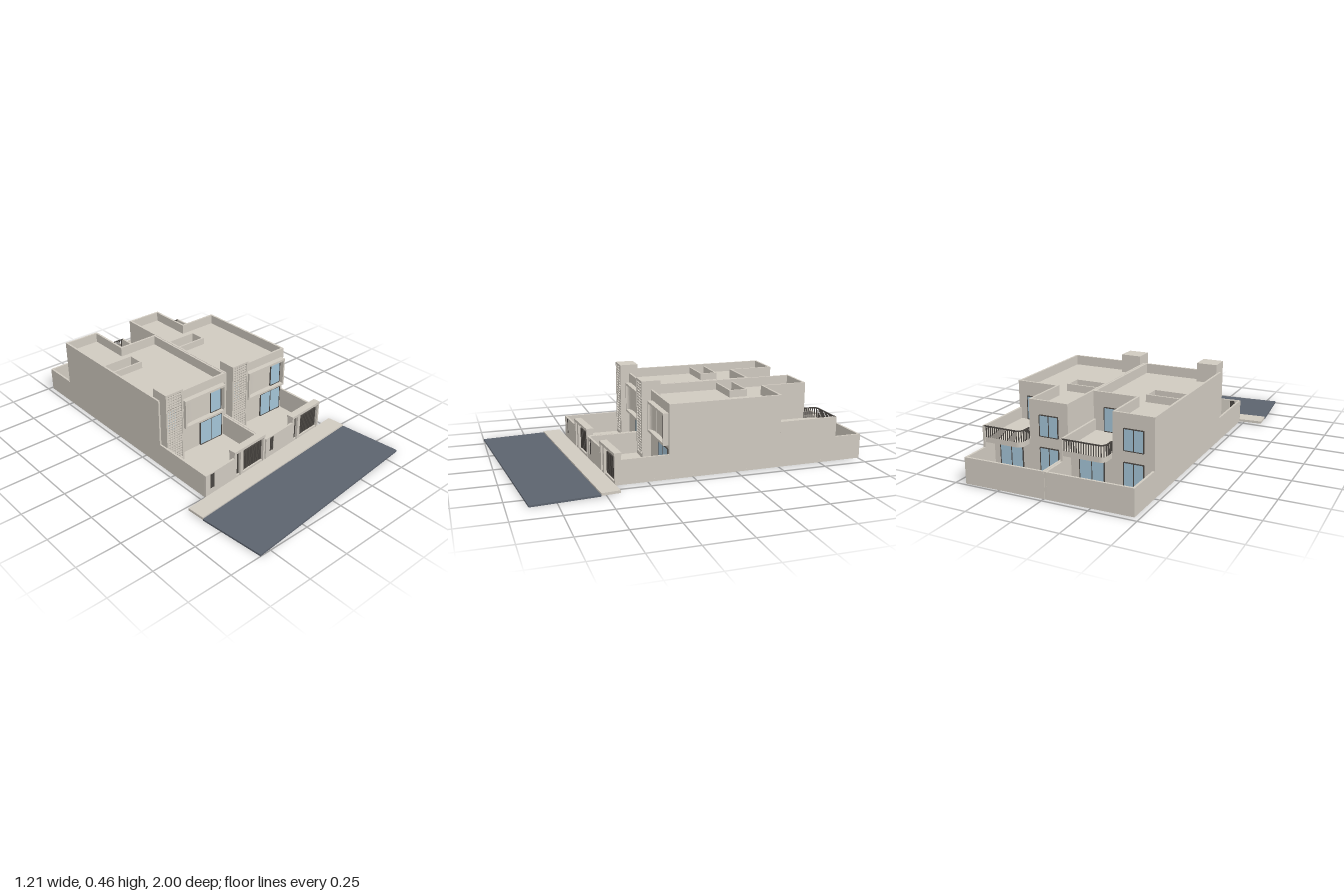
import * as THREE from 'three';

const paint = (color) => new THREE.MeshStandardMaterial({ color });
const WALL = paint(0xd0cac0), GLASS = paint(0xa3c3d6), DARK = paint(0x4a4642), ROAD = paint(0x5c636e);

const SKEW = 0.086;                                // the street runs slightly askew
const streetZ = (x) => 0.47 - SKEW * x;

function add(parent, name, geometry, material = WALL) {
  const mesh = new THREE.Mesh(geometry, material);
  mesh.name = name;
  parent.add(mesh);
  return mesh;
}

// Box given by its limits
function box(parent, name, x0, x1, y0, y1, z0, z1, material) {
  const g = new THREE.BoxGeometry(x1 - x0, y1 - y0, z1 - z0);
  g.translate((x0 + x1) / 2, (y0 + y1) / 2, (z0 + z1) / 2);
  return add(parent, name, g, material);
}

// Plan outline of [x, z] points raised from y0 to y1
function prism(parent, name, pts, y0, y1, holes = [], material = WALL) {
  const plan = (list) => list.map(([x, z]) => new THREE.Vector2(x, -z));
  const shape = new THREE.Shape(plan(pts));
  for (const h of holes) shape.holes.push(new THREE.Path(plan(h)));
  const g = new THREE.ExtrudeGeometry(shape, { depth: y1 - y0, bevelEnabled: false });
  g.rotateX(-Math.PI / 2).translate(0, y0, 0);
  return add(parent, name, g, material);
}

// Straight wall between two plan points
function wall(parent, name, [xa, za], [xb, zb], t, y0, y1, material) {
  const dx = xb - xa, dz = zb - za;
  const g = new THREE.BoxGeometry(Math.hypot(dx, dz), y1 - y0, t);
  g.rotateY(-Math.atan2(dz, dx)).translate((xa + xb) / 2, (y0 + y1) / 2, (za + zb) / 2);
  return add(parent, name, g, material);
}

// Glazing in a z-facing wall, with dark frame and mullions
function windowAt(parent, name, x0, x1, y0, y1, z, panes = 2) {
  const w = new THREE.Group();
  w.name = name;
  box(w, 'glass', x0, x1, y0, y1, z - 0.003, z + 0.003, GLASS);
  for (let i = 0; i <= panes; i++) {
    const x = x0 + ((x1 - x0) * i) / panes;
    box(w, 'mullion', x - 0.002, x + 0.002, y0, y1, z - 0.005, z + 0.005, DARK);
  }
  for (const y of [y0, y1]) box(w, 'windowRail', x0, x1, y - 0.002, y + 0.002, z - 0.005, z + 0.005, DARK);
  parent.add(w);
}

function bars(parent, name, x0, x1, y0, y1, z, count) {
  const g = new THREE.Group();
  g.name = name;
  const step = (x1 - x0) / count;
  for (let i = 0; i < count; i++) {
    const x = x0 + (i + 0.5) * step;
    box(g, 'bar', x - step * 0.36, x + step * 0.36, y0, y1, z - 0.004, z + 0.004, DARK);
  }
  for (const y of [y0 + 0.003, y1 - 0.003]) box(g, 'rail', x0, x1, y - 0.003, y + 0.003, z - 0.003, z + 0.003, DARK);
  parent.add(g);
}

// Stair tower with a pierced block screen
function tower(parent) {
  const t = new THREE.Group();
  t.name = 'stairTower';
  const x0 = 0.01, x1 = 0.125, zb = 0.08, zf = 0.187;
  for (const x of [x0, x1 - 0.01]) box(t, 'towerSide', x, x + 0.01, 0.018, 0.46, zb, zf);
  box(t, 'towerTop', x0 + 0.01, x1 - 0.01, 0.45, 0.46, zb, zf);
  box(t, 'towerBase', x0 + 0.01, x1 - 0.01, 0.018, 0.04, zb, zf);
  box(t, 'towerBack', x0 + 0.01, x1 - 0.01, 0.35, 0.45, zb, 0.135);
  windowAt(t, 'towerWindow', 0.025, 0.11, 0.2, 0.33, 0.138, 1);
  const screen = new THREE.Shape([[0.02, 0.04], [0.115, 0.04], [0.115, 0.45], [0.02, 0.45]].map((p) => new THREE.Vector2(...p)));
  const cols = 6, rows = 26, px = 0.095 / cols, py = 0.41 / rows;
  for (let c = 0; c < cols; c++) for (let r = 0; r < rows; r++) {
    const ring = [];
    for (let k = 0; k < 8; k++) {
      const a = ((k + 0.5) * Math.PI) / 4;
      ring.push(new THREE.Vector2(0.02 + (c + 0.5) * px + 0.0062 * Math.cos(a), 0.04 + (r + 0.5) * py + 0.0062 * Math.sin(a)));
    }
    screen.holes.push(new THREE.Path(ring));
  }
  const g = new THREE.ExtrudeGeometry(screen, { depth: 0.008, bevelEnabled: false });
  add(t, 'blockScreen', g.translate(0, 0, 0.176));
  parent.add(t);
}

// Projecting bay frame with a curved inner wall
function bay(parent) {
  const b = new THREE.Group();
  b.name = 'bayFrame';
  box(b, 'bayTop', 0.158, 0.444, 0.345, 0.358, 0.13, 0.165);
  box(b, 'bayBottom', 0.158, 0.444, 0.185, 0.197, 0.13, 0.165);
  box(b, 'baySide', 0.158, 0.168, 0.197, 0.345, 0.13, 0.165);
  box(b, 'baySide', 0.434, 0.444, 0.197, 0.345, 0.13, 0.165);
  const curve = [[0.168, 0.133]];
  for (let i = 0; i <= 10; i++) {
    const a = (i / 10) * Math.PI / 2;
    curve.push([0.228 - 0.06 * Math.cos(a), 0.16 - 0.024 * Math.sin(a)]);
  }
  curve.push([0.228, 0.133]);
  prism(b, 'curvedWall', curve, 0.197, 0.345);
  windowAt(b, 'bayWindow', 0.355, 0.43, 0.199, 0.34, 0.137, 1);
  parent.add(b);
}

// Rear balcony slab and railing
function balcony(parent, right) {
  const b = new THREE.Group();
  b.name = 'balcony';
  const edge = [[right, -0.835]];
  for (let i = 0; i <= 6; i++) {
    const a = (i / 6) * Math.PI / 2;
    edge.push([0.255 - 0.03 * Math.sin(a), -0.805 - 0.03 * Math.cos(a)]);
  }
  edge.push([0.225, -0.76]);
  prism(b, 'balconySlab', [...edge, [right, -0.76]], 0.172, 0.2);
  const path = new THREE.CurvePath();
  const v = edge.map(([x, z]) => new THREE.Vector3(x, 0.258, z));
  for (let i = 1; i < v.length; i++) {
    path.add(new THREE.LineCurve3(v[i - 1], v[i]));
    wall(b, 'handrail', edge[i - 1], edge[i], 0.006, 0.255, 0.261, DARK);
  }
  for (const p of path.getSpacedPoints(22)) box(b, 'baluster', p.x - 0.002, p.x + 0.002, 0.2, 0.257, p.z - 0.002, p.z + 0.002, DARK);
  parent.add(b);
}

// Street portal with pedestrian and garage gates
function portal(parent, x, width) {
  const p = new THREE.Group();
  p.name = 'streetPortal';
  p.position.set(x, 0, streetZ(x));
  p.rotation.y = Math.atan(SKEW);
  box(p, 'lintel', 0, width, 0.163, 0.178, -0.04, 0.002);
  for (const [a, b] of [[0, 0.018], [0.048, 0.07], [width - 0.012, width]]) box(p, 'pillar', a, b, 0.01, 0.163, -0.036, 0);
  bars(p, 'pedestrianGate', 0.018, 0.048, 0.02, 0.163, -0.018, 3);
  bars(p, 'garageGate', 0.07, width - 0.012, 0.02, 0.138, -0.018, 14);
  parent.add(p);
}

function house(name, x0, right, portalX, portalWidth) {
  const h = new THREE.Group();
  h.name = name;
  h.position.x = x0;
  const T = 0.012, Y = 0.018, F = 0.135, M = -0.5, B = -0.76;
  const well = [[0.012, -0.305], [0.205, -0.305], [0.205, -0.39], [0.012, -0.39]];
  const outline = (d) => [[d, F - d], [right(F) - d, F - d], [right(M) - d, M + d], [0.22 - d, M + d], [0.22 - d, B + d], [d, B + d]];
  const back = (x) => -0.978 - 0.02 * (x + x0 + 0.476) / 0.913;
  const front = (x) => streetZ(x + x0) - T / 2;

  // Lot, main volumes and roof edges
  prism(h, 'lotSlab', [[0, front(0)], [right(0.45), front(right(0.45))], [right(-1), back(right(-1))], [0, back(0)]], 0.005, Y);
  prism(h, 'groundFloor', [[0, F], [right(F), F], [right(B), B], [0, B]], Y, 0.2, [well]);
  prism(h, 'upperFloor', outline(0), 0.2, 0.355, [well]);
  prism(h, 'parapet', outline(0), 0.355, 0.41, [outline(T)]);
  prism(h, 'lightWellRim', [[T, -0.295], [0.215, -0.295], [0.215, -0.4], [T, -0.4]], 0.355, 0.395, [well]);

  // Rear paving with a rounded step
  const paving = [[0.006, B], [0.006, -0.8], [0.14, -0.8]];
  for (let i = 0; i <= 6; i++) {
    const a = (i / 6) * Math.PI / 2;
    paving.push([0.2 - 0.03 * Math.cos(a), -0.86 - 0.03 * Math.sin(a)]);
  }
  paving.push([right(-0.89) - 0.006, -0.89], [right(B) - 0.006, B]);
  prism(h, 'rearPaving', paving, Y, 0.024);

  // Boundary walls
  const i = T / 2, edgeR = (z) => right(z) - i;
  wall(h, 'sideWall', [i, F], [i, front(0)], T, Y, 0.14);
  wall(h, 'sideWall', [edgeR(F), F], [edgeR(0.43), front(right(0.43))], T, Y, 0.14);
  wall(h, 'rearSideWall', [i, B], [i, back(0)], T, 0.01, 0.145);
  wall(h, 'rearSideWall', [edgeR(-0.84), -0.84], [edgeR(-1), back(right(-1))], T, 0.01, 0.145);
  wall(h, 'terraceSideWall', [edgeR(M), M], [edgeR(-0.84), -0.84], T, 0.01, 0.26);
  wall(h, 'rearWall', [0, back(0) + i], [right(-1), back(right(-1)) + i], T, 0.01, 0.145);

  // Street wall with a narrow barred slot
  const px = portalX - x0;
  const street = (a, b, y0, y1) => wall(h, 'streetWall', [a, front(a)], [b, front(b)], T, y0, y1);
  street(0, 0.033, 0.01, 0.14);
  street(0.063, px, 0.01, 0.14);
  street(0.033, 0.063, 0.01, 0.045);
  street(0.033, 0.063, 0.134, 0.14);
  bars(h, 'slotGrille', 0.033, 0.063, 0.045, 0.134, front(0.048), 3);
  portal(h, px, portalWidth);
  h.children[h.children.length - 1].position.z = streetZ(portalX);

  // Facade fittings
  tower(h);
  bay(h);
  box(h, 'wallBox', 0.132, 0.152, 0.297, 0.325, F, F + 0.02);
  windowAt(h, 'frontDoors', 0.28, 0.437, 0.02, 0.165, F + 0.002);
  windowAt(h, 'rearUpperWindow', 0.055, 0.16, 0.225, 0.335, B - 0.002);
  windowAt(h, 'rearLowerWindow', 0.055, 0.16, 0.026, 0.165, B - 0.002);
  windowAt(h, 'rearDoors', 0.265, 0.4, 0.026, 0.155, B - 0.002);
  windowAt(h, 'terraceDoors', 0.27, 0.4, 0.202, 0.33, M - 0.002);
  balcony(h, edgeR(-0.84));
  return h;
}

export function createModel() {
  const model = new THREE.Group();
  model.name = 'pairedHouses';
  prism(model, 'road', [[-0.6, 0.63], [0.57, 0.528], [0.603, 0.89], [-0.565, 1]], 0, 0.01, [], ROAD);
  prism(model, 'sidewalk', [[-0.606, 0.527], [0.56, 0.425], [0.57, 0.528], [-0.6, 0.63]], 0.004, 0.018);
  model.add(house('rightHouse', -0.477, () => 0.463, -0.264, 0.243));
  model.add(house('leftHouse', -0.012, (z) => 0.46 + 0.011 * z, 0.212, 0.243));
  return model;
}
